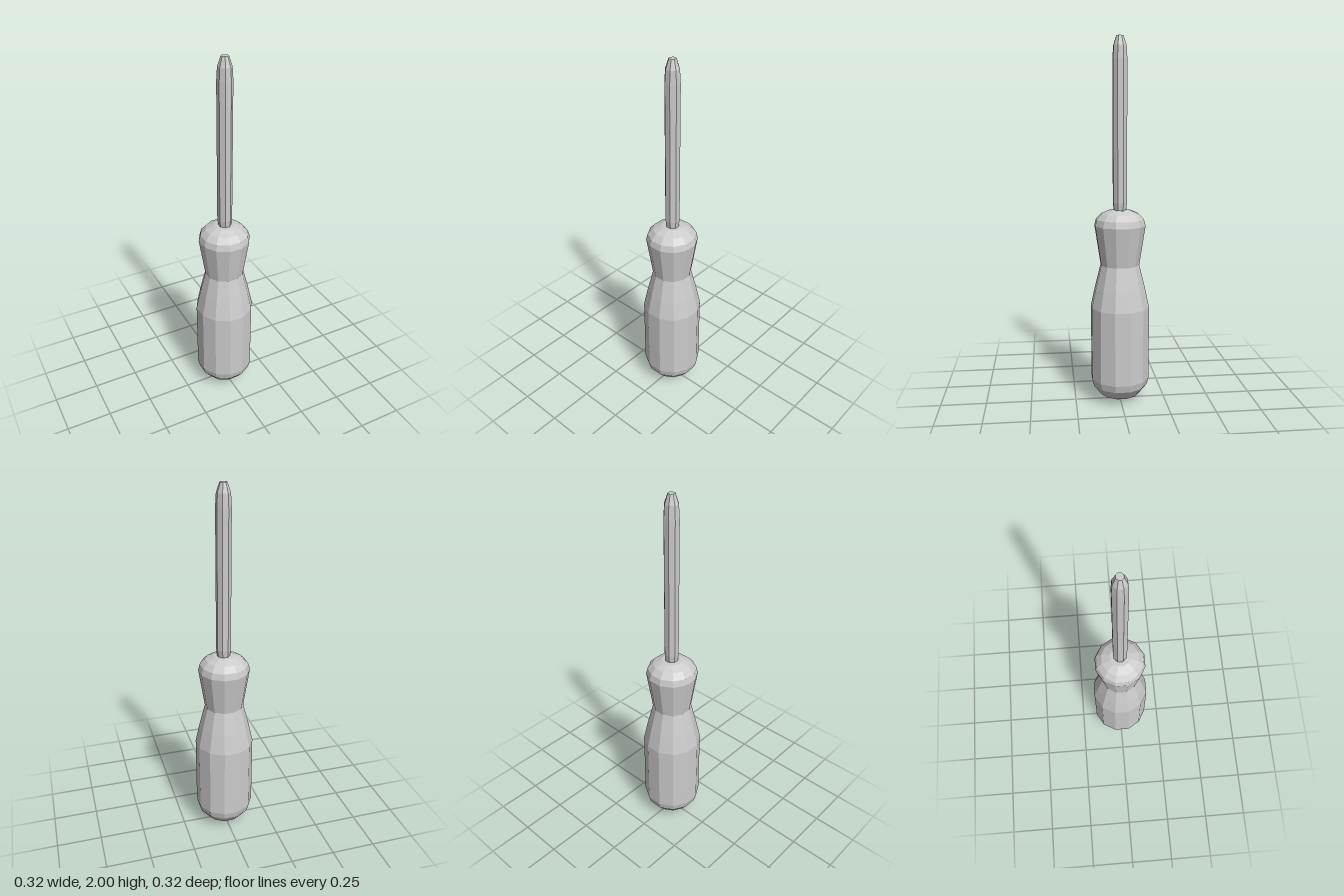
import * as THREE from 'three';

const material = new THREE.MeshStandardMaterial({ color: 0xcccccc, flatShading: true });

// Faceted turned part: profile of [radius, y] from bottom to top,
// radii measured to the flats, with flats facing the main axes.
function turned(name, profile, sides) {
  const k = 1 / Math.cos(Math.PI / sides);
  const points = profile.map(([r, y]) => new THREE.Vector2(r * k, y));
  const geometry = new THREE.LatheGeometry(points, sides, Math.PI / sides);
  const mesh = new THREE.Mesh(geometry, material);
  mesh.name = name;
  return mesh;
}

export function createModel() {
  const group = new THREE.Group();
  group.name = 'screwdriver';

  // Grip: rounded butt, straight body, taper to the waist
  group.add(turned('grip', [
    [0, 0], [0.04, 0.005], [0.105, 0.035], [0.148, 0.09], [0.158, 0.13],
    [0.158, 0.54], [0.135, 0.65], [0.102, 0.785], [0, 0.785],
  ], 12));

  // Collar: flares up from the waist and closes in a dome
  group.add(turned('collar', [
    [0, 0.775], [0.104, 0.775], [0.137, 0.995], [0.128, 1.03],
    [0.1, 1.06], [0.055, 1.08], [0, 1.083],
  ], 12));

  // Shaft with a narrowed root and tapered tip
  const shaft = turned('shaft', [
    [0, 1.06], [0.031, 1.07], [0.037, 1.12], [0.038, 1.88],
    [0.034, 1.95], [0.018, 2], [0, 2],
  ], 8);
  shaft.position.x = 0.003;
  group.add(shaft);

  return group;
}
